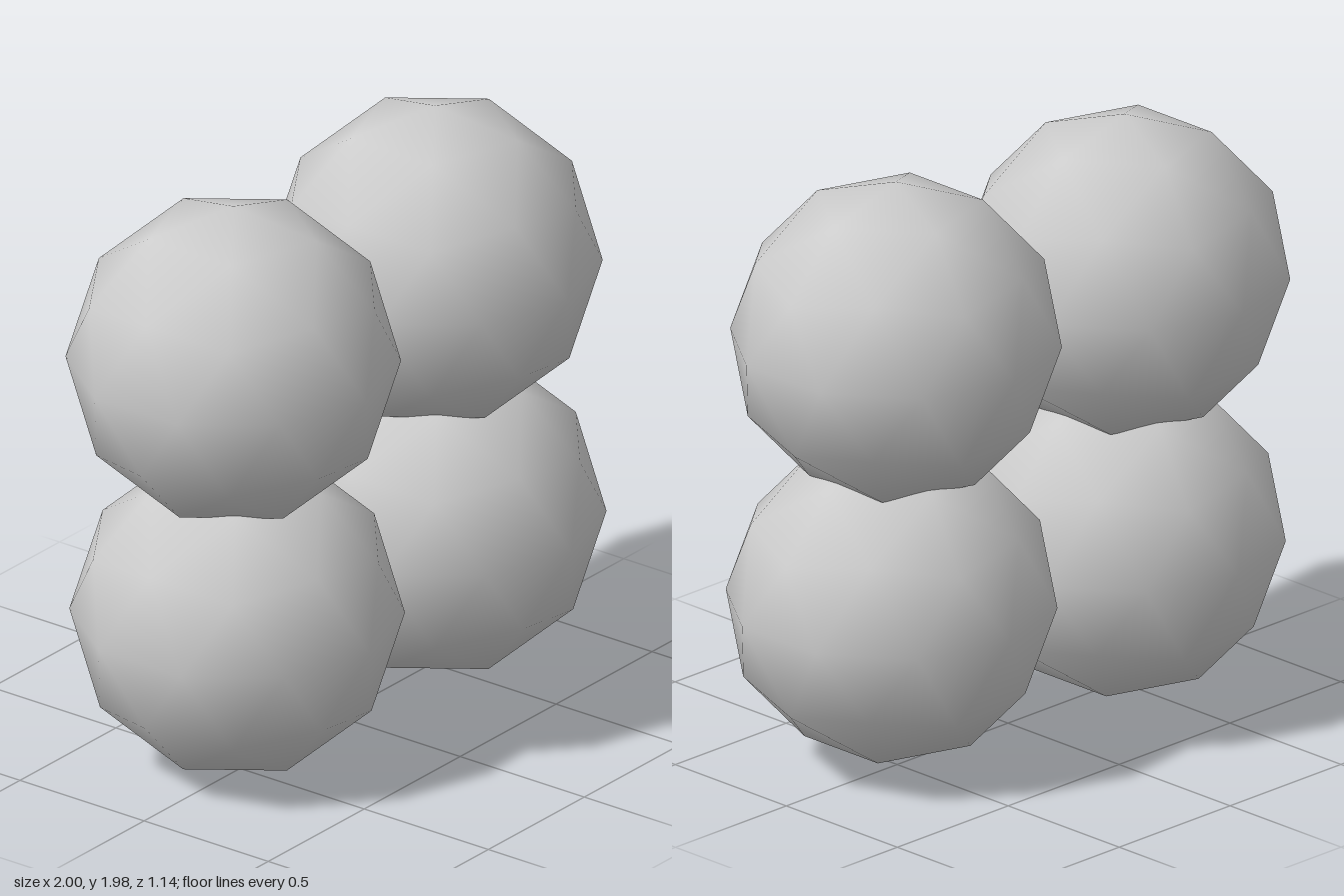
import * as THREE from 'three';

export function createModel() {
  const group = new THREE.Group();
  const material = new THREE.MeshStandardMaterial({ color: 0xcccccc });

  // Smooth-shaded icosphere, turned so one corner points straight up
  const geometry = new THREE.IcosahedronGeometry(0.535, 1);
  geometry.rotateZ(-Math.atan2(1, (1 + Math.sqrt(5)) / 2));

  // Four overlapping balls in a slightly skewed two by two cluster
  const balls = [
    ['upperRightBall', -0.49, 1.43, -0.035],
    ['upperLeftBall', 0.47, 1.45, 0.035],
    ['lowerRightBall', -0.47, 0.537, -0.035],
    ['lowerLeftBall', 0.49, 0.56, 0.035],
  ];
  for (const [name, x, y, z] of balls) {
    const ball = new THREE.Mesh(geometry, material);
    ball.name = name;
    ball.position.set(x, y, z);
    group.add(ball);
  }
  return group;
}
